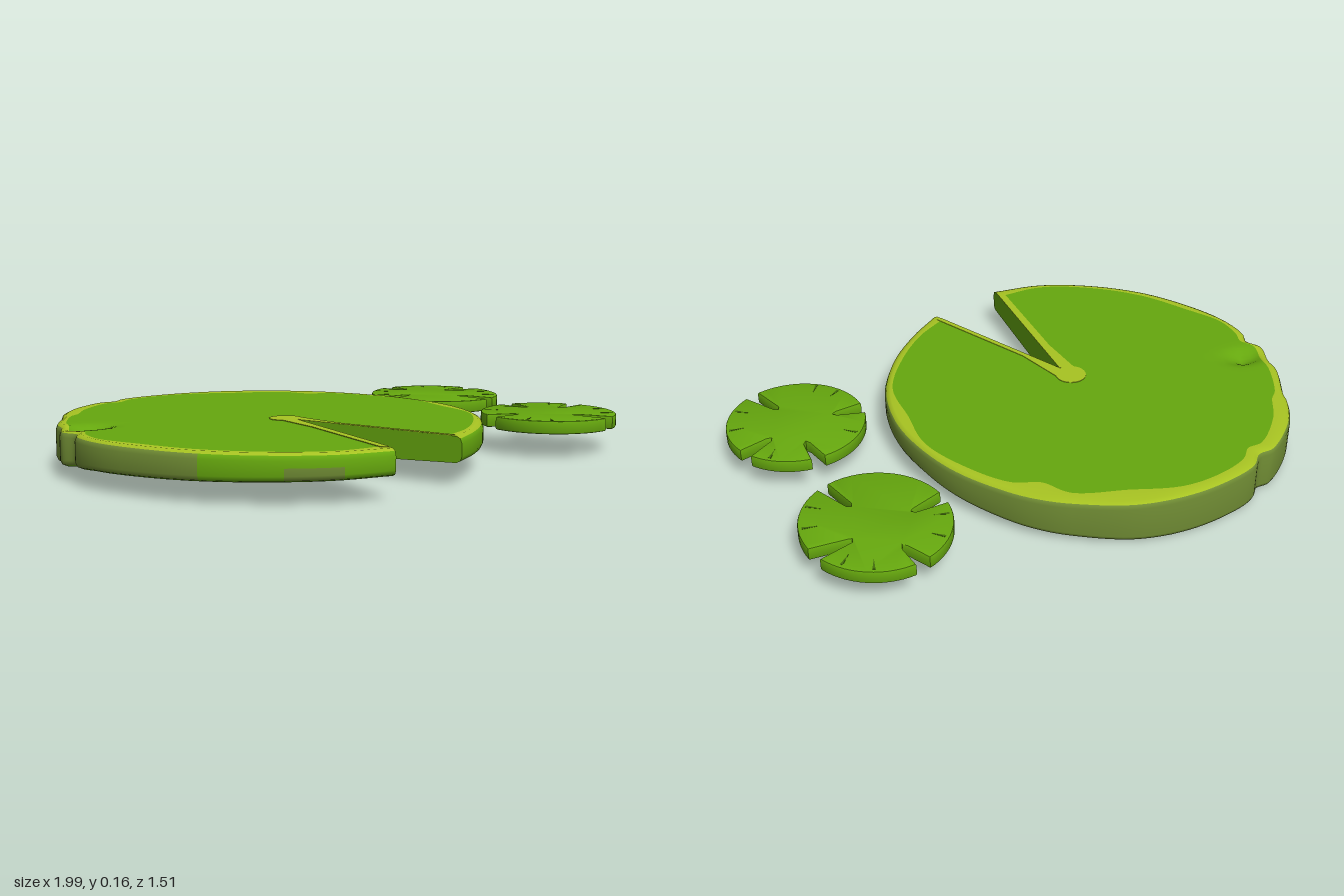
import * as THREE from 'three';
import { toCreasedNormals } from 'three/addons/utils/BufferGeometryUtils.js';

const paint = (name, color) => Object.assign(new THREE.MeshStandardMaterial({ color }), { name });
const APEX = new THREE.Vector2(-0.255, 0.12); // inner end of the big notch
const TOP = 0.16;

// Outline of the big leaf from one notch tip to the other: x, z, width of the pale rim
const OUTLINE = [
  [-0.415, 0.75, 0.06], [-0.6, 0.68, 0.035], [-0.77, 0.54, 0.035], [-0.9, 0.36, 0.04], [-0.98, 0.14, 0.045],
  [-1, 0, 0.03], [-0.985, -0.11, 0.035], [-0.955, -0.16, 0.03], [-0.97, -0.22, 0.03], [-0.92, -0.31, 0.03],
  [-0.9, -0.37, 0.035], [-0.8, -0.5, 0.035], [-0.77, -0.55, 0.06], [-0.68, -0.64, 0.06], [-0.52, -0.72, 0.05],
  [-0.46, -0.715, 0.05], [-0.4, -0.75, 0.05], [-0.28, -0.76, 0.045], [-0.12, -0.74, 0.05], [0.06, -0.67, 0.08],
  [0.22, -0.54, 0.055], [0.29, -0.46, 0.09], [0.35, -0.36, 0.05], [0.42, -0.17, 0.04], [0.44, 0.02, 0.03],
  [0.42, 0.2, 0.055], [0.34, 0.39, 0.03], [0.2, 0.55, 0.035], [0.04, 0.66, 0.035], [-0.105, 0.73, 0.05],
];

// Big leaf: one radial cross-section per outline sample, skinned and closed at the notch
function bigLeaf(green, rim, olive) {
  const curve = new THREE.CatmullRomCurve3(OUTLINE.map(([x, z, w]) => new THREE.Vector3(x, w, z)));
  const samples = curve.getPoints((OUTLINE.length - 1) * 6);
  const rings = [0, 0.3, 0.55, 0.7, 0.76, 0.81, 0.86, 0.91, 0.96, 1];
  const positions = [];
  const faces = [[], [], []]; // green, rim, olive
  let count = 0;

  samples.forEach((p) => {
    const dx = p.x - APEX.x, dz = p.z - APEX.y, length = Math.hypot(dx, dz);
    const base = p.z > 0 ? 0.06 + 0.02 * p.z : Math.max(0, 0.06 + 0.083 * p.z);
    const profile = rings.map((f) => [f * (length - p.y), TOP]);
    profile.push([length - 0.02, TOP], [length - 0.006, TOP - 0.007], [length, TOP - 0.022],
      [length, (TOP + base) / 2], [length, base + 0.02], [length - 0.006, base + 0.006],
      [length - 0.02, base], [length * 0.5, 0.5 * base + 0.025], [0, 0.05]);
    count = profile.length;
    profile.forEach(([r, y], j) => {
      const x = APEX.x + (dx * r) / length, z = APEX.y + (dz * r) / length;
      // Small dent near the left edge
      const dent = j < 11 ? 0.035 * Math.exp(-(((x + 0.86) / 0.06) ** 2) - ((z + 0.235) / 0.04) ** 2) : 0;
      positions.push(x, y - dent, z);
    });
  });

  const inner = rings.length - 1;
  for (let i = 0; i < samples.length - 1; i++) {
    const { x, z } = samples[i];
    for (let j = 0; j < count - 1; j++) {
      let colour = 0;
      if (j >= inner && j < inner + 2) colour = 1;
      else if (j >= inner + 2 && j < inner + 6) {
        const blotch = j > inner + 3 && x > -0.71 && x < -0.55;
        colour = z < 0.4 || blotch ? 2 : 0;
      }
      const a = i * count + j, b = a + count;
      if (j > 0) faces[colour].push(a, b, b + 1);
      if (j < count - 2) faces[colour].push(a, b + 1, a + 1);
    }
  }

  // Straight walls of the notch, with their own vertices for a sharp edge
  [0, samples.length - 1].forEach((section, end) => {
    const start = positions.length / 3;
    for (let k = 0; k < count * 3; k++) positions.push(positions[section * count * 3 + k]);
    for (let k = 1; k < count - 1; k++) {
      if (end) faces[0].push(start, start + k + 1, start + k);
      else faces[0].push(start, start + k, start + k + 1);
    }
  });

  const geometry = new THREE.BufferGeometry();
  geometry.setAttribute('position', new THREE.Float32BufferAttribute(positions, 3));
  geometry.setIndex(faces.flat());
  let offset = 0;
  faces.forEach((list, m) => {
    geometry.addGroup(offset, list.length, m);
    offset += list.length;
  });
  geometry.computeVertexNormals();
  return new THREE.Mesh(geometry, [green, rim, olive]);
}

// Flat plate lying in the ground plane from x, z points
function plate(points, y, depth, bevel = 0) {
  const shape = new THREE.Shape(points.map(([x, z]) => new THREE.Vector2(x, -z)));
  const geometry = new THREE.ExtrudeGeometry(shape, {
    depth: depth - 2 * bevel, bevelEnabled: bevel > 0, bevelThickness: bevel,
    bevelSize: bevel, bevelOffset: -bevel, bevelSegments: 2,
  });
  geometry.rotateX(-Math.PI / 2).translate(0, y + bevel, 0);
  return geometry;
}

// Small leaf: ellipse with four cuts, each [start degrees, end degrees, tip x, tip z]
function smallLeaf(rx, rz, cuts, creases, green, dark) {
  const group = new THREE.Group();
  const at = (deg, s = 1) => {
    const a = THREE.MathUtils.degToRad(deg);
    return [Math.cos(a) * rx * s, Math.sin(a) * rz * s];
  };
  const points = [];
  cuts.forEach(([from, to, tx, tz], i) => {
    const r = Math.hypot(tx, tz), px = (-tz / r) * 0.01, pz = (tx / r) * 0.01;
    points.push(at(from), [tx * 1.1 - px, tz * 1.1 - pz], [tx, tz], [tx * 1.1 + px, tz * 1.1 + pz]);
    const next = i < cuts.length - 1 ? cuts[i + 1][0] : cuts[0][0] + 360;
    for (let k = 0; k < 14; k++) points.push(at(to + ((next - to) * k) / 14));
  });
  const blade = new THREE.Mesh(toCreasedNormals(plate(points, 0.088, 0.047, 0.006), 0.7), green);
  blade.name = 'smallBlade';
  group.add(blade);

  // Short creases near the edge
  creases.forEach((deg) => {
    const crease = new THREE.Mesh(
      plate([at(deg - 1.2, 0.95), at(deg + 1.2, 0.95), at(deg + 0.5, 0.75)], 0.133, 0.003), dark);
    crease.name = 'crease';
    group.add(crease);
  });
  return group;
}

export function createModel() {
  const green = paint('leafGreen', 0x66a80e);
  const rim = paint('paleRim', 0xa8c422);
  const olive = paint('oliveSide', 0x708c34);
  const dark = paint('creaseGreen', 0x44700c);
  const model = new THREE.Group();
  model.name = 'lilyPads';

  const leaf = bigLeaf(green, rim, olive);
  leaf.name = 'bigLeaf';
  model.add(leaf);

  // Pale edging of the notch and the spot at its inner end
  const spot = new THREE.Mesh(new THREE.CylinderGeometry(0.056, 0.056, 0.003, 32), rim);
  spot.position.set(-0.26, TOP + 0.0005, 0.06);
  spot.name = 'centreSpot';
  model.add(spot);
  const strips = [
    [[-0.255, 0.12], [-0.3, 0.08], [-0.325, 0.27], [-0.43, 0.7], [-0.405, 0.71]],
    [[-0.255, 0.12], [-0.21, 0.08], [-0.198, 0.27], [-0.095, 0.69], [-0.114, 0.692]],
  ];
  strips.forEach((points) => {
    const strip = new THREE.Mesh(plate(points, TOP - 0.001, 0.003), rim);
    strip.name = 'notchEdging';
    model.add(strip);
  });

  // Two small leaves beside the big one
  const back = smallLeaf(0.245, 0.26,
    [[-13, 1, 0.11, -0.035], [74, 84, 0.025, 0.11], [181, 194, -0.115, -0.03], [262, 274, 0, -0.155]],
    [-55, -30, 25, 52, 208, 236], green, dark);
  back.position.set(0.75, 0, -0.2);
  back.name = 'backSmallLeaf';
  const front = smallLeaf(0.245, 0.245,
    [[-22, -10, 0.12, -0.04], [73, 85, 0.015, 0.105], [190, 204, -0.125, -0.04], [276, 287, 0.035, -0.13]],
    [-38, 22, 52, 138, 160, 235], green, dark);
  front.position.set(0.675, 0, 0.445);
  front.name = 'frontSmallLeaf';
  model.add(back, front);
  return model;
}
